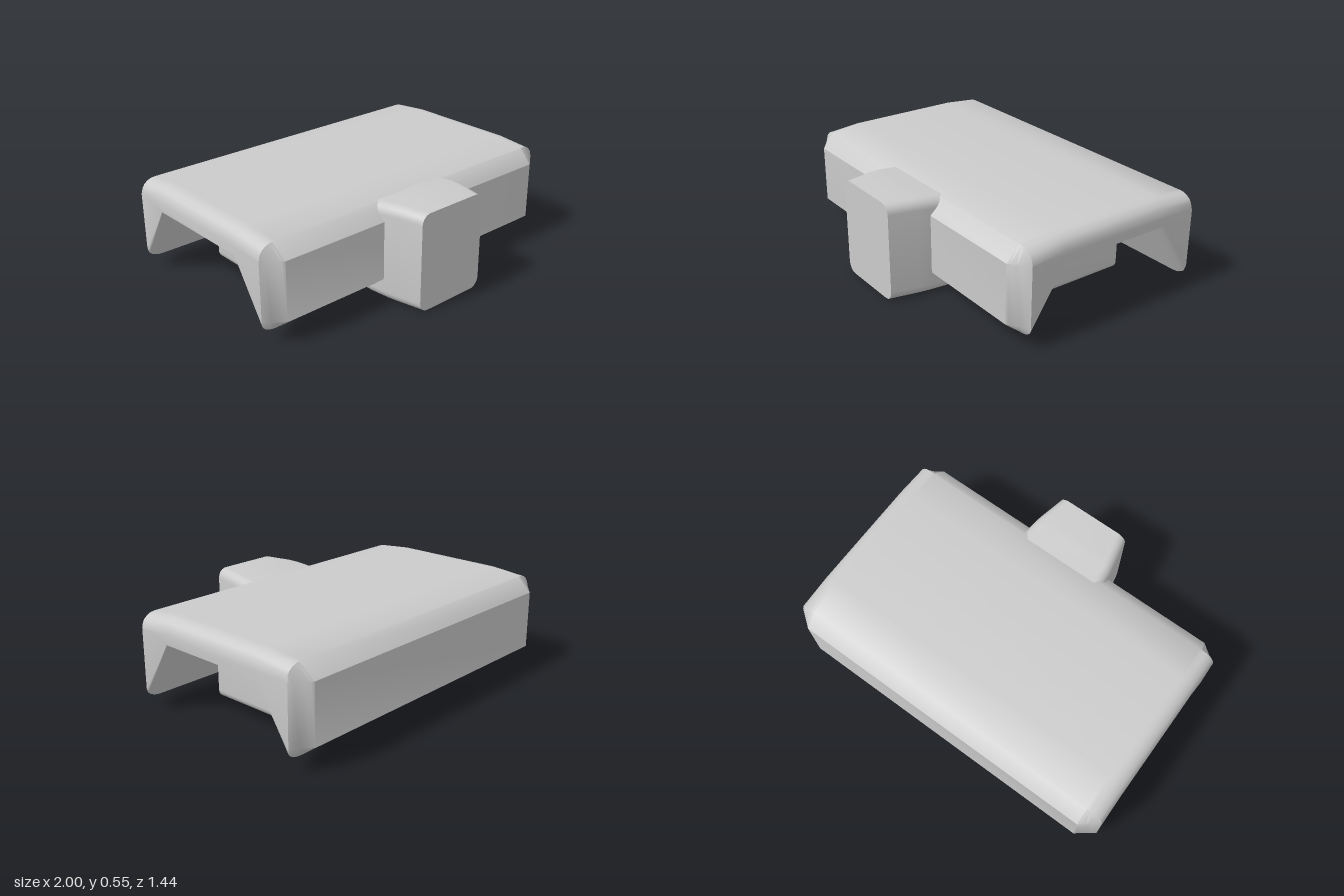
import * as THREE from 'three';
import { toCreasedNormals } from 'three/addons/utils/BufferGeometryUtils.js';

const material = new THREE.MeshStandardMaterial({ color: 0xcccccc });

// Skins a row of closed cross-sections and caps both ends.
// section: { at, points: [[a, b], ...] } counter-clockwise; place(a, b, at) gives [x, y, z].
function loft(name, sections, place) {
  const n = sections[0].points.length;
  const positions = sections.flatMap(s => s.points.flatMap(([a, b]) => place(a, b, s.at)));
  const index = [];
  for (let i = 0; i < sections.length - 1; i++) {
    for (let j = 0; j < n; j++) {
      const a = i * n + j, b = i * n + (j + 1) % n;
      index.push(a, b, b + n, a, b + n, a + n);
    }
  }
  const cap = (s, reverse) => {
    const outline = sections[s].points.map(([a, b]) => new THREE.Vector2(a, b));
    for (const [a, b, c] of THREE.ShapeUtils.triangulateShape(outline, [])) {
      const o = s * n;
      index.push(...(reverse ? [c + o, b + o, a + o] : [a + o, b + o, c + o]));
    }
  };
  cap(0, true);
  cap(sections.length - 1, false);
  const geometry = new THREE.BufferGeometry();
  geometry.setAttribute('position', new THREE.Float32BufferAttribute(positions, 3));
  geometry.setIndex(index);
  const mesh = new THREE.Mesh(toCreasedNormals(geometry, 0.75), material);
  mesh.name = name;
  return mesh;
}

// Rounded rectangle in x, y standing on y = 0
function roundedRect(halfWidth, height, radius, steps = 6) {
  const corners = [
    [halfWidth - radius, radius, -Math.PI / 2],
    [halfWidth - radius, height - radius, 0],
    [radius - halfWidth, height - radius, Math.PI / 2],
    [radius - halfWidth, radius, Math.PI],
  ];
  return corners.flatMap(([cx, cy, start]) =>
    Array.from({ length: steps + 1 }, (_, k) => {
      const t = start + (k / steps) * Math.PI / 2;
      return [cx + radius * Math.cos(t), cy + radius * Math.sin(t)];
    }));
}

// Cover profile as [y, z]: the edges round and the front and back chamfer towards the ends
function coverProfile(x) {
  const ramp = from => Math.max(0, (Math.abs(x) - from) / (1 - from));
  const round = 1 - Math.sqrt(Math.max(0, 1 - ramp(0.915) ** 2));
  const chamfer = 0.075 * ramp(0.9);
  const drop = 0.075 * round, lift = 0.05 * round;
  return [
    [0.535 - drop, -0.64], [0.553 - drop, -0.44], [0.553 - drop, 0.22], [0.535 - drop, 0.42],
    [0.455, 0.495 - chamfer], [0.125, 0.495 - chamfer], [0.065 + lift, 0.419],
    [0.415, 0.22], [0.415, -0.44],
    [0.065 + lift, -0.639], [0.125, -0.72 + chamfer], [0.455, -0.72 + chamfer],
  ];
}

export function createModel() {
  const group = new THREE.Group();
  const alongZ = (a, b, z) => [a, b, z];

  // Hollow cover, open at both sides
  const half = [0.9, 0.915, 0.94, 0.96, 0.98, 0.993, 1];
  const stations = [...half.map(x => -x).reverse(), ...half];
  group.add(loft('cover',
    stations.map(x => ({ at: x, points: coverProfile(x) })),
    (y, z, x) => [x, y, z]));

  // Block under the cover
  group.add(loft('core',
    [-0.48, 0.26].map(z => ({ at: z, points: roundedRect(0.64, 0.46, 0.045) })),
    alongZ));

  // Tapered plug at the front: [z, half width, height]
  const plug = [[0.24, 0.275, 0.535], [0.4, 0.275, 0.537], [0.5, 0.265, 0.549], [0.56, 0.255, 0.553], [0.72, 0.22, 0.553]];
  group.add(loft('plug',
    plug.map(([z, w, h]) => ({ at: z, points: roundedRect(w, h, 0.055) })),
    alongZ));

  return group;
}
